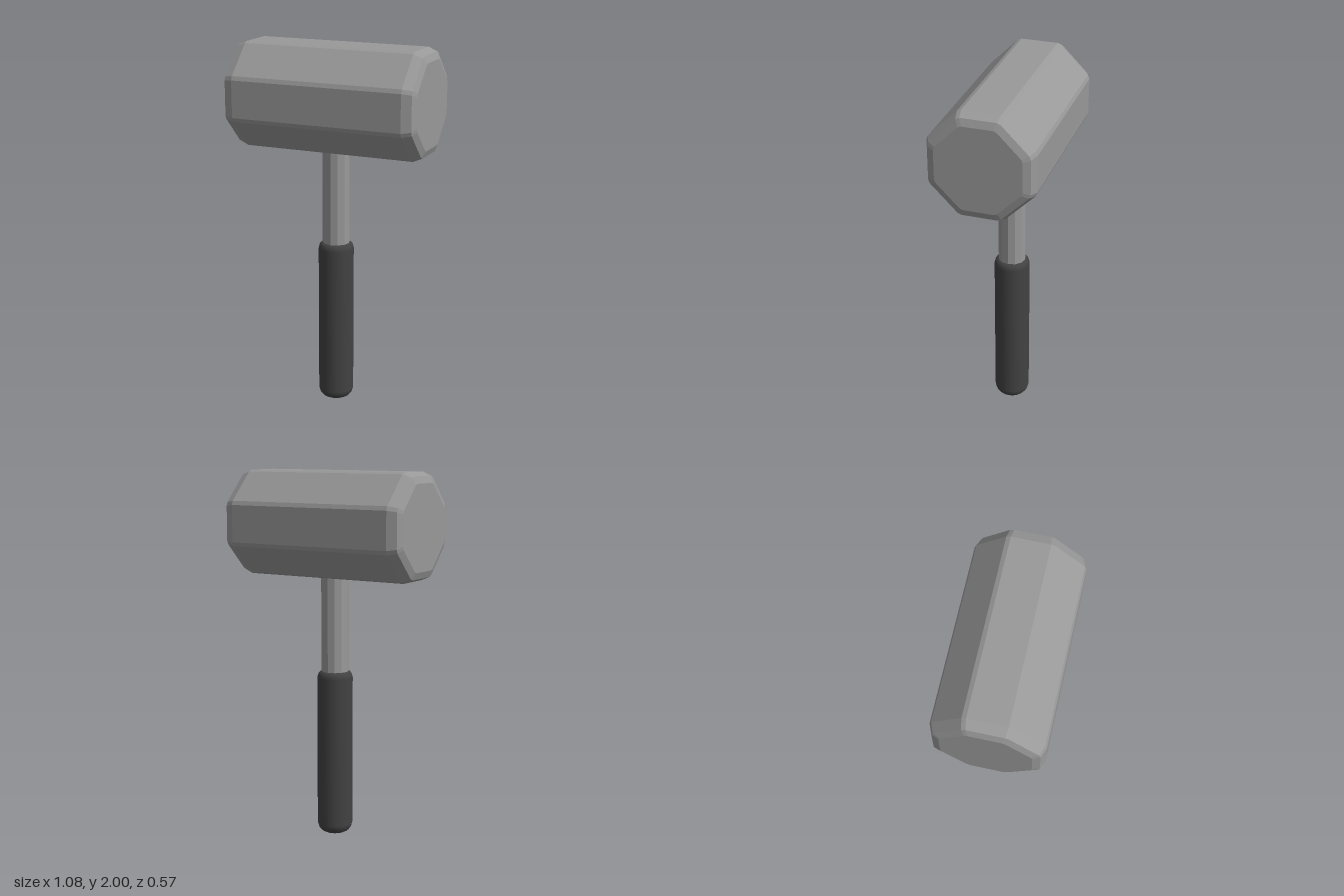
import * as THREE from 'three';
import { ConvexGeometry } from 'three/addons/geometries/ConvexGeometry.js';

const metal = new THREE.MeshStandardMaterial({ color: 0x999999, flatShading: true });
metal.name = 'grey metal';
const rubber = new THREE.MeshStandardMaterial({ color: 0x424242 });
rubber.name = 'dark rubber';

function addPart(group, name, geometry, material, y = 0) {
  const mesh = new THREE.Mesh(geometry, material);
  mesh.name = name;
  mesh.position.y = y;
  group.add(mesh);
}

// Octagonal prism along x, with bevelled long edges and rounded-off ends
function headGeometry() {
  const corner = [[0.1, 0.283], [0.122, 0.274], [0.274, 0.122], [0.283, 0.1]];
  const rings = [[0.475, 1], [0.525, 0.93], [0.54, 0.8]]; // x, scale
  const points = [];
  for (const [x, s] of rings)
    for (const sx of [-1, 1])
      for (const sy of [-1, 1])
        for (const sz of [-1, 1])
          for (const [z, y] of corner)
            points.push(new THREE.Vector3(sx * x, sy * y * s, sz * z * s));
  return new ConvexGeometry(points);
}

export function createModel() {
  const mallet = new THREE.Group();
  mallet.name = 'mallet';

  addPart(mallet, 'head', headGeometry(), metal, 1.717);

  // Twelve-sided shaft between grip and head
  addPart(mallet, 'shaft', new THREE.CylinderGeometry(0.075, 0.075, 0.65, 12), metal, 1.175);

  // Smooth grip with rounded ends
  const profile = [
    [0, 0], [0.055, 0.002], [0.075, 0.012], [0.089, 0.028], [0.097, 0.055],
    [0.097, 0.88], [0.091, 0.902], [0.08, 0.914], [0.06, 0.918], [0, 0.918],
  ].map(([r, y]) => new THREE.Vector2(r, y));
  addPart(mallet, 'grip', new THREE.LatheGeometry(profile, 24), rubber);

  return mallet;
}
